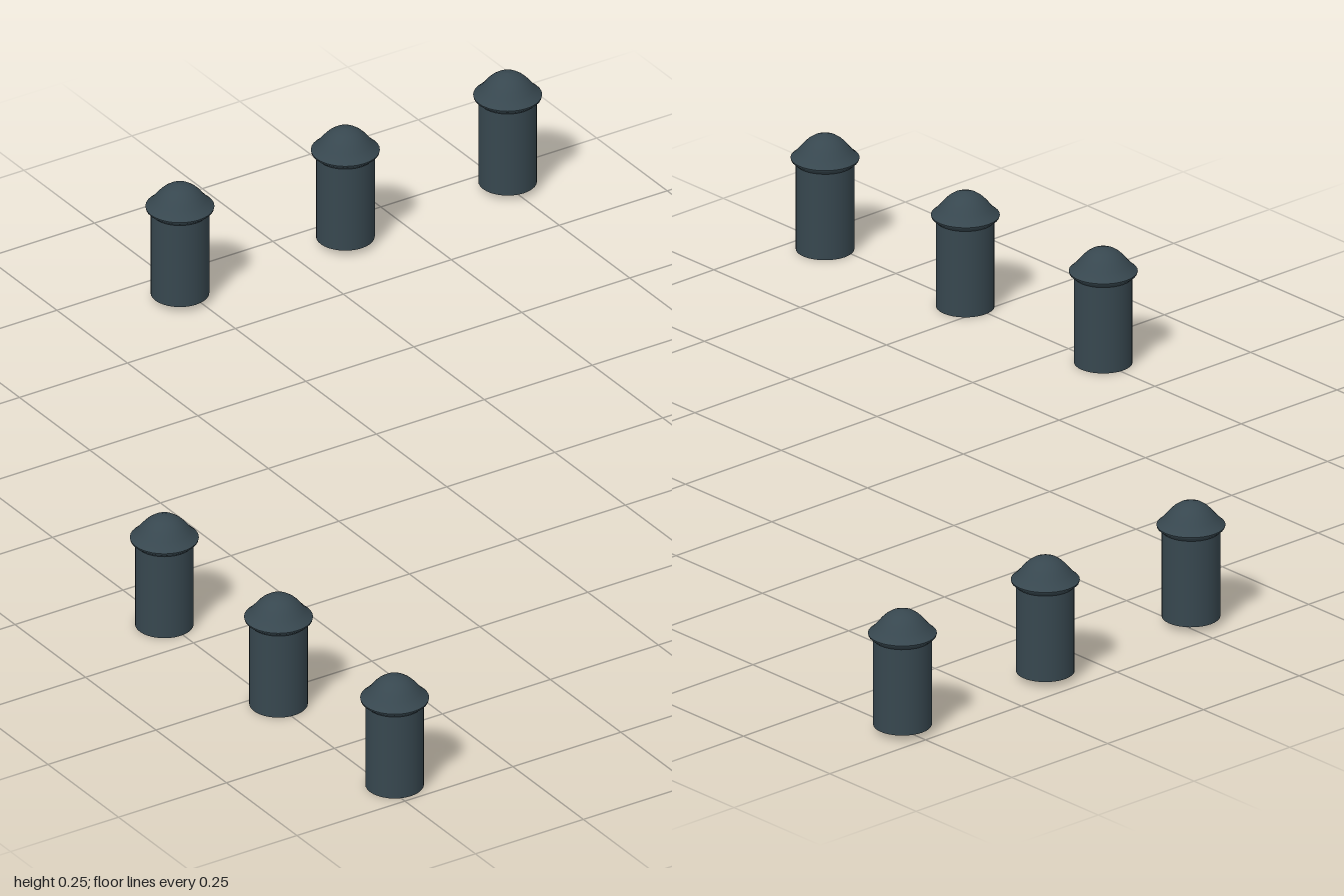
import * as THREE from 'three';

const SEGMENTS = 32;
const material = new THREE.MeshStandardMaterial({ color: 0x37474f, side: THREE.DoubleSide });

const lathe = (points) =>
  new THREE.LatheGeometry(points.map(([r, y]) => new THREE.Vector2(r, y)), SEGMENTS);

// Hollow post, open underneath
const postGeometry = new THREE.CylinderGeometry(0.057, 0.057, 0.185, SEGMENTS, 1, true).translate(0, 0.0925, 0);

// Flared collar: underside and short outer edge
const collarGeometry = lathe([[0.057, 0.181], [0.066, 0.189], [0.067, 0.193]]);

// Sloping shoulder running into a rounded crown
const capGeometry = lathe([
  [0.067, 0.193], [0.059, 0.2], [0.051, 0.209], [0.043, 0.219],
  [0.034, 0.228], [0.024, 0.235], [0.012, 0.2395], [0, 0.241],
]);

function createBollard() {
  const bollard = new THREE.Group();
  const parts = { post: postGeometry, collar: collarGeometry, cap: capGeometry };
  for (const [name, geometry] of Object.entries(parts)) {
    const mesh = new THREE.Mesh(geometry, material);
    mesh.name = name;
    bollard.add(mesh);
  }
  return bollard;
}

// Adds a straight row of three bollards through the given positions
function createRow(name, positions) {
  const row = new THREE.Group();
  row.name = name;
  positions.forEach(([x, y, z], i) => {
    const bollard = createBollard();
    bollard.name = `${name}Bollard${i + 1}`;
    bollard.position.set(x, y, z);
    row.add(bollard);
  });
  return row;
}

export function createModel() {
  const model = new THREE.Group();
  model.name = 'bollards';
  model.add(
    // Row along the right side, at ground level
    createRow('sideRow', [[-0.756, 0, 0.156], [-0.743, 0, 0.541], [-0.73, 0, 0.933]]),
    // Row along the back, standing slightly higher
    createRow('backRow', [[-0.024, 0.012, -0.91], [0.367, 0.012, -0.922], [0.75, 0.012, -0.933]]),
  );
  return model;
}
